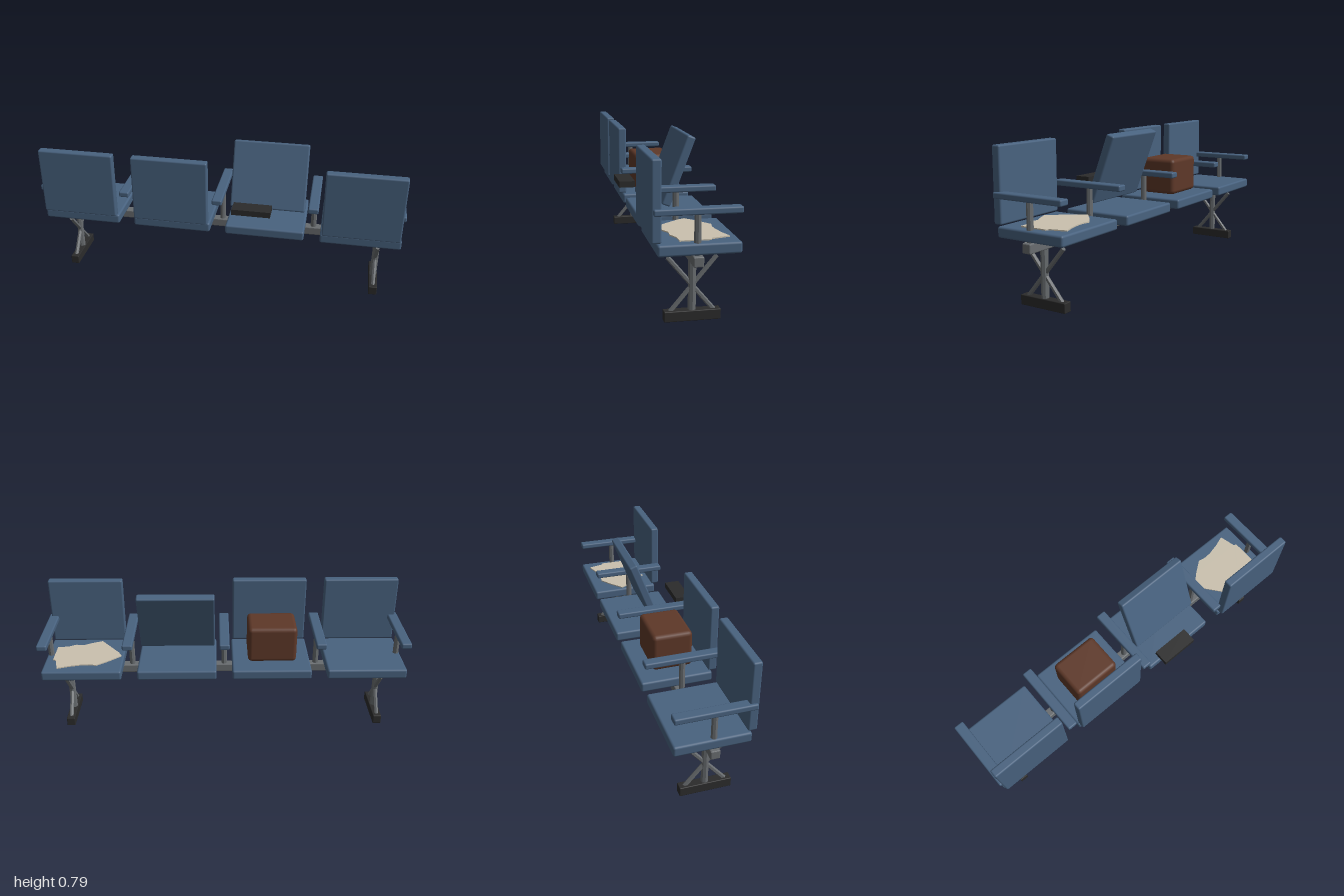
import * as THREE from 'three';
import { RoundedBoxGeometry } from 'three/addons/geometries/RoundedBoxGeometry.js';

const material = (name, color) => {
  const m = new THREE.MeshStandardMaterial({ color });
  m.name = name;
  return m;
};

export function createModel() {
  const model = new THREE.Group();
  model.name = 'waitingBench';
  const blue = material('blue upholstery', 0x48627f);
  const steel = material('grey steel', 0x686c6f);
  const black = material('black rubber', 0x2b2b2b);
  const brown = material('brown leather', 0x5e3828);
  const paper = material('cream paper', 0xcac1ae);
  steel.flatShading = true;

  const add = (name, geometry, mat, x, y, z) => {
    const mesh = new THREE.Mesh(geometry, mat);
    mesh.name = name;
    mesh.position.set(x, y, z);
    model.add(mesh);
    return mesh;
  };
  const rounded = (w, h, d, r) => new RoundedBoxGeometry(w, h, d, 2, r);
  const AXIS = -0.025; // z of the beam, posts and legs

  // Support beam
  add('beam', rounded(1.998, 0.048, 0.048, 0.006), steel, 0, 0.311, AXIS);

  // Four seats, the third with its back knocked loose and leaning
  [-0.774, -0.258, 0.258, 0.774].forEach((x, i) => {
    add('seat', rounded(0.43, 0.054, 0.38, 0.011), blue, x, 0.365, -0.034);
    const back = rounded(0.414, 0.37, 0.046, 0.009);
    if (i === 2) add('looseBackrest', back, blue, x, 0.611, -0.052).rotation.x = -0.36;
    else add('backrest', back, blue, x, 0.582, 0.159);
  });

  // Armrests on posts
  for (const x of [-0.967, -0.516, 0, 0.516, 0.967]) {
    add('armrest', rounded(0.055, 0.031, 0.398, 0.008), blue, x, 0.536, -0.025);
    add('armrestPost', new THREE.CylinderGeometry(0.016, 0.016, 0.2, 8), steel, x, 0.427, AXIS);
  }

  // Legs with crossed braces and feet
  for (const x of [-0.874, 0.874]) {
    add('leg', new THREE.CylinderGeometry(0.019, 0.019, 0.26, 8), steel, x, 0.165, AXIS);
    for (const side of [-1, 1]) {
      const brace = add('brace', new THREE.CylinderGeometry(0.0115, 0.0115, 0.355, 6), steel, x, 0.165, AXIS);
      brace.rotation.x = side * 0.697;
    }
    add('foot', rounded(0.046, 0.05, 0.265, 0.004), black, x, 0.025, AXIS);
  }

  // Broken strip in front of the loose back
  add('brokenStrip', new THREE.BoxGeometry(0.206, 0.032, 0.082), black, 0.192, 0.519, 0.183);

  // Suitcase left on the second seat
  add('suitcase', rounded(0.265, 0.202, 0.214, 0.022), brown, -0.262, 0.5, -0.033);

  // Torn newspaper on the last seat
  const outline = [
    [0.572, -0.055], [0.635, -0.11], [0.7, -0.158], [0.745, -0.15], [0.785, -0.153],
    [0.85, -0.168], [0.908, -0.188], [0.93, -0.1], [0.945, -0.095], [0.945, 0.05],
    [0.89, 0.052], [0.845, 0.075], [0.8, 0.07], [0.755, 0.095], [0.7, 0.117],
    [0.65, 0.055], [0.59, -0.02],
  ];
  const sheet = new THREE.ExtrudeGeometry(
    new THREE.Shape(outline.map(([x, z]) => new THREE.Vector2(x, -z))),
    { depth: 0.006, bevelEnabled: false });
  sheet.rotateX(-Math.PI / 2);
  add('newspaper', sheet, paper, 0, 0.393, 0);

  return model;
}
